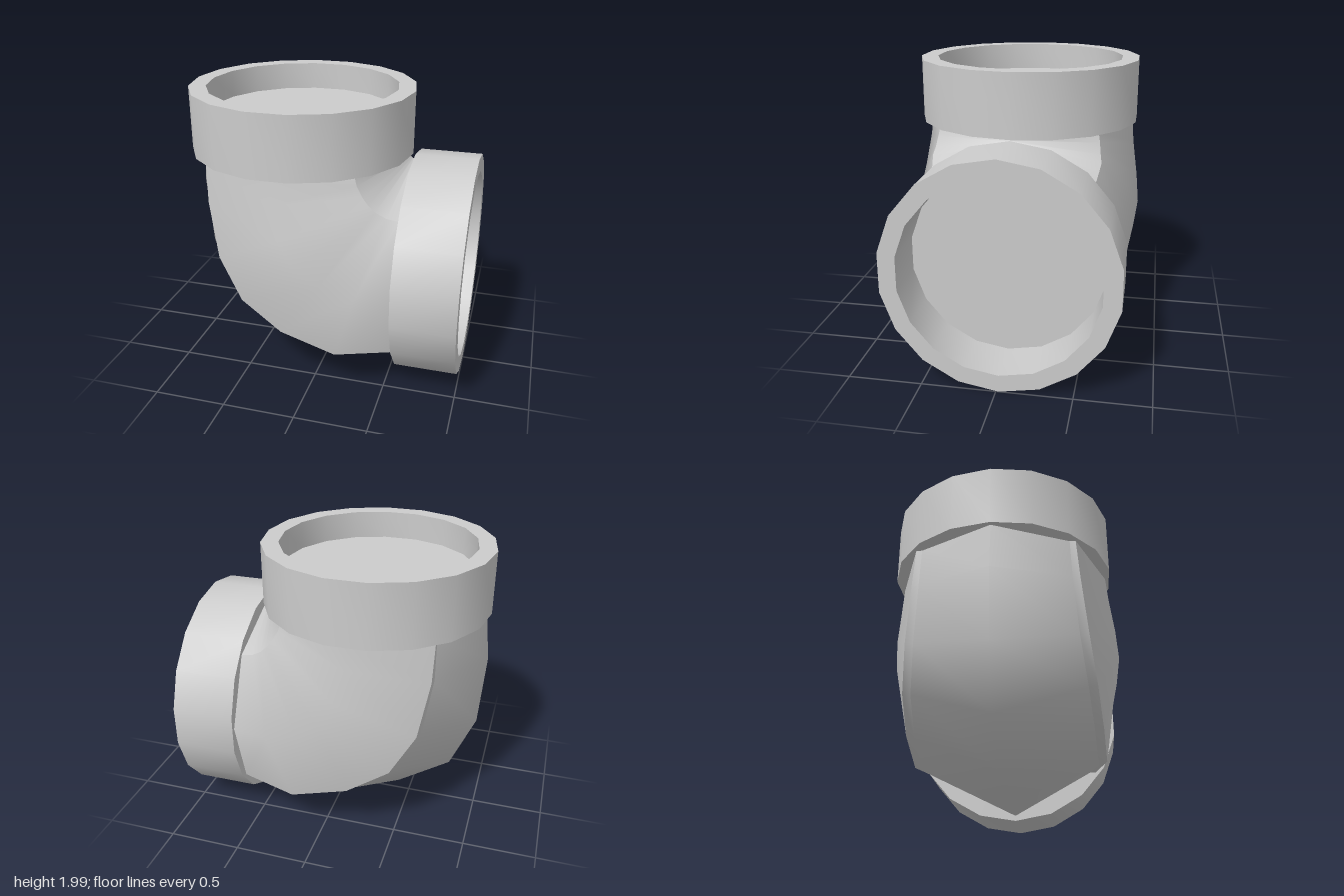
import * as THREE from 'three';
import { toCreasedNormals } from 'three/addons/utils/BufferGeometryUtils.js';

const material = new THREE.MeshStandardMaterial({ color: 0xcccccc });
const bodyMaterial = new THREE.MeshStandardMaterial({ color: 0xcccccc, side: THREE.DoubleSide });
const PIVOT = { x: 0.57, y: 1.56 };

// Eight-sided cross-sections of the bend, swept about the inner corner.
// a: angle, ci / co: distance of the inner / outer crease, out: outermost distance,
// zi / zo: half-depth at the creases, zm: largest half-depth,
// step / rise: how far the outer strip sits inside / beyond the panel edge.
const sections = [
  { a: 0, ci: 0.29, co: 1.30, out: 1.54, zi: 0.54, zo: 0.54, zm: 0.74, step: 0.04, rise: 0 },
  { a: 12, ci: 0.28, co: 1.32, out: 1.61, zi: 0.55, zo: 0.56, zm: 0.755, step: 0.05, rise: 0.01 },
  { a: 28.5, ci: 0.265, co: 1.39, out: 1.75, zi: 0.56, zo: 0.60, zm: 0.79, step: 0.06, rise: 0.02 },
  { a: 42, ci: 0.26, co: 1.42, out: 1.84, zi: 0.57, zo: 0.64, zm: 0.81, step: 0.06, rise: 0.02 },
  { a: 56, ci: 0.265, co: 1.375, out: 1.78, zi: 0.56, zo: 0.67, zm: 0.79, step: 0.06, rise: 0.02 },
  { a: 73, ci: 0.27, co: 1.30, out: 1.62, zi: 0.55, zo: 0.69, zm: 0.765, step: 0.06, rise: 0.03 },
  { a: 90, ci: 0.275, co: 1.205, out: 1.52, zi: 0.54, zo: 0.61, zm: 0.74, step: 0.04, rise: 0 },
];

// Sweep part of the cross-section through the bend;
// rule(section) gives its points as [distance, z], and flip mirrors it to the back
function sweep(name, rule, flip = false) {
  const pos = [], index = [];
  sections.forEach((s, i) => {
    const a = THREE.MathUtils.degToRad(s.a);
    const points = rule(s).map(([r, z]) => [r, flip ? -z : z]);
    if (flip) points.reverse();
    points.forEach(([r, z], j) => {
      pos.push(PIVOT.x - r * Math.cos(a), PIVOT.y - r * Math.sin(a), z);
      if (i && j < points.length - 1) {
        const d = i * points.length + j, p = d - points.length;
        index.push(p, p + 1, d, p + 1, d + 1, d);
      }
    });
  });
  const geo = new THREE.BufferGeometry();
  geo.setAttribute('position', new THREE.Float32BufferAttribute(pos, 3));
  geo.setIndex(index);
  geo.computeVertexNormals();
  const mesh = new THREE.Mesh(geo, bodyMaterial);
  mesh.name = name;
  return mesh;
}

// Side panel, the ledge at its edge, and the outer and inner strips
const panel = (s) => [[s.ci, s.zi], [(s.ci + s.co) / 2, s.zm], [s.co, s.zo]];
const ledge = (s) => [[s.co, s.zo], [s.co + s.rise, s.zo - s.step]];
const heel = (s) => {
  const r = s.co + s.rise, z = s.zo - s.step;
  return [[r, z], [s.out, 0], [r, -z]];
};
const throat = (s) => [[s.ci, -s.zi], [0.035, 0], [s.ci, s.zi]];

// Socket collar with a recessed floor, its axis along +y
function collar(name, depth) {
  const R = 0.778, r = 0.66, h = 0.43;
  const profile = [[0, 0], [R, 0], [R, h], [r, h], [r, h - depth], [0, h - depth]]
    .map(([x, y]) => new THREE.Vector2(x, y));
  const geo = new THREE.LatheGeometry(profile, 18, Math.PI / 2);
  const mesh = new THREE.Mesh(toCreasedNormals(geo, 0.6), material);
  mesh.name = name;
  return mesh;
}

export function createModel() {
  const model = new THREE.Group();
  model.name = 'pipeElbow';

  const body = new THREE.Group();
  body.name = 'elbowBody';
  for (const [label, flip] of [['front', false], ['back', true]]) {
    body.add(sweep(label + 'Panel', panel, flip), sweep(label + 'Ledge', ledge, flip));
  }
  body.add(sweep('outerBend', heel), sweep('innerBend', throat));

  const top = collar('topCollar', 0.19);
  top.position.set(-0.222, 1.56, 0);

  const side = collar('sideCollar', 0.34);
  side.rotation.z = -Math.PI / 2;
  side.position.set(0.57, 0.78, 0);

  model.add(body, top, side);
  // Slight depth offset that balances the whole
  model.children.forEach((part) => { part.position.z = -0.018; });
  return model;
}
